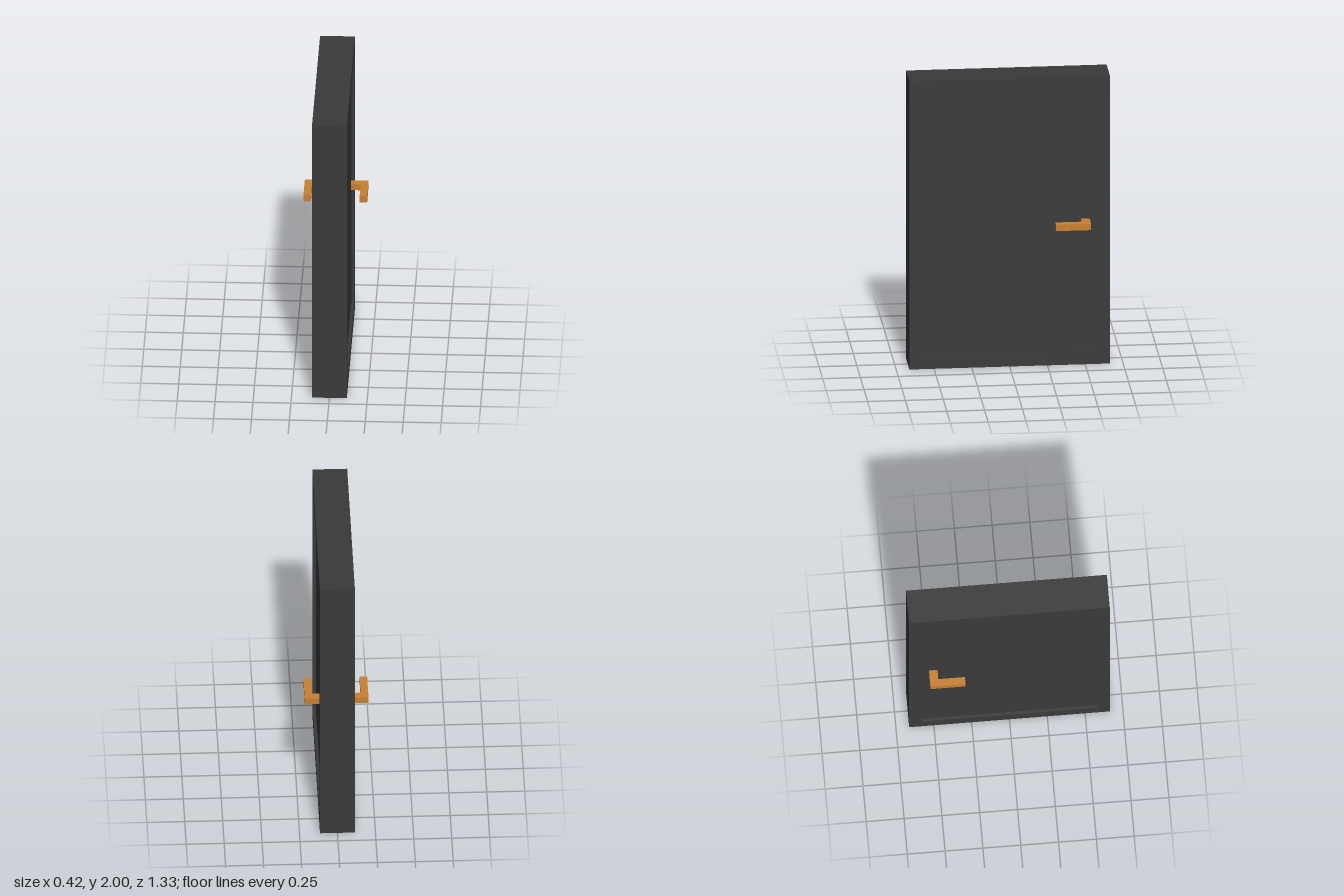
import * as THREE from 'three';

const W = 0.663, H = 2, T = 0.115;              // half width, height, half thickness
const OPEN_Z = 0.582, OPEN_Y0 = 0.087, OPEN_Y1 = 1.915;
const RECESS = 0.02;

function rect(target, x0, y0, x1, y1) {
  target.moveTo(x0, y0);
  target.lineTo(x1, y0);
  target.lineTo(x1, y1);
  target.lineTo(x0, y1);
  target.closePath();
  return target;
}

export function createModel() {
  const model = new THREE.Group();
  model.name = 'door';
  const dark = new THREE.MeshStandardMaterial({ color: 0x3a3a3a });
  const orange = new THREE.MeshStandardMaterial({ color: 0xc88032 });

  // Surrounding frame, extruded through its thickness along x
  const outline = rect(new THREE.Shape(), -W, 0, W, H);
  outline.holes.push(rect(new THREE.Path(), -OPEN_Z, OPEN_Y0, OPEN_Z, OPEN_Y1));
  const frameGeo = new THREE.ExtrudeGeometry(outline, { depth: 2 * T, bevelEnabled: false });
  frameGeo.translate(0, 0, -T).rotateY(Math.PI / 2);
  const frame = new THREE.Mesh(frameGeo, dark);
  frame.name = 'frame';
  model.add(frame);

  // Door leaf, slightly recessed on both faces
  const leaf = new THREE.Mesh(
    new THREE.BoxGeometry(2 * (T - RECESS), OPEN_Y1 - OPEN_Y0, 2 * OPEN_Z), dark);
  leaf.position.y = (OPEN_Y0 + OPEN_Y1) / 2;
  leaf.name = 'leaf';
  model.add(leaf);

  // L-shaped lever handle on each side; shape drawn in x and -z, extruded upward
  for (const side of [1, -1]) {
    const points = [[T - RECESS, 0.53], [T - RECESS, 0.474], [0.16, 0.474],
      [0.16, 0.298], [0.21, 0.298], [0.21, 0.53]];
    const shape = new THREE.Shape(points.map(([x, y]) => new THREE.Vector2(side * x, y)));
    const geo = new THREE.ExtrudeGeometry(shape, { depth: 0.044, bevelEnabled: false });
    geo.rotateX(-Math.PI / 2);
    const handle = new THREE.Mesh(geo, orange);
    handle.position.y = 0.962;
    handle.name = side > 0 ? 'leftHandle' : 'rightHandle';
    model.add(handle);
  }
  return model;
}
